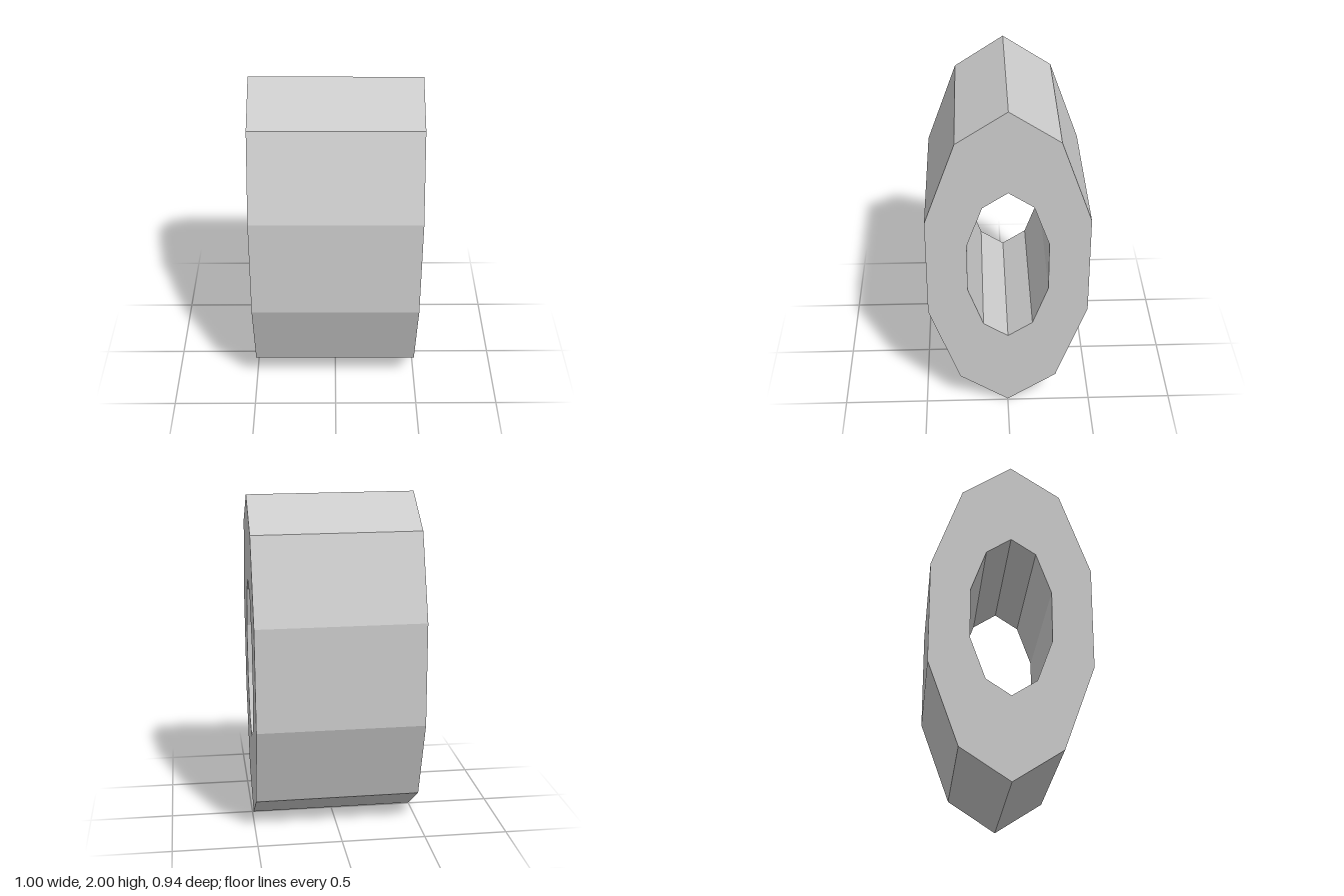
import * as THREE from 'three';

// Ten-sided oval outline with a corner at the top
function decagon(rx, ry) {
  const points = [];
  for (let i = 0; i < 10; i++) {
    const a = Math.PI / 2 + (i / 10) * Math.PI * 2;
    points.push(new THREE.Vector2(Math.cos(a) * rx, Math.sin(a) * ry));
  }
  return points;
}

export function createModel() {
  const width = 0.992;
  const group = new THREE.Group();
  group.name = 'ovalRing';

  // Ring profile with a half-size hole, extruded along x
  const profile = new THREE.Shape(decagon(0.494, 0.999));
  profile.holes.push(new THREE.Path(decagon(0.247, 0.4995)));
  const geometry = new THREE.ExtrudeGeometry(profile, { depth: width, bevelEnabled: false });
  geometry.translate(0, 0, -width / 2);
  geometry.rotateY(Math.PI / 2);
  // Very slight sideways lean
  geometry.rotateZ(-0.0035);
  geometry.translate(0, 1, 0);

  const material = new THREE.MeshStandardMaterial({ color: 0xcccccc, flatShading: true });
  const ring = new THREE.Mesh(geometry, material);
  ring.name = 'ring';
  group.add(ring);
  return group;
}
